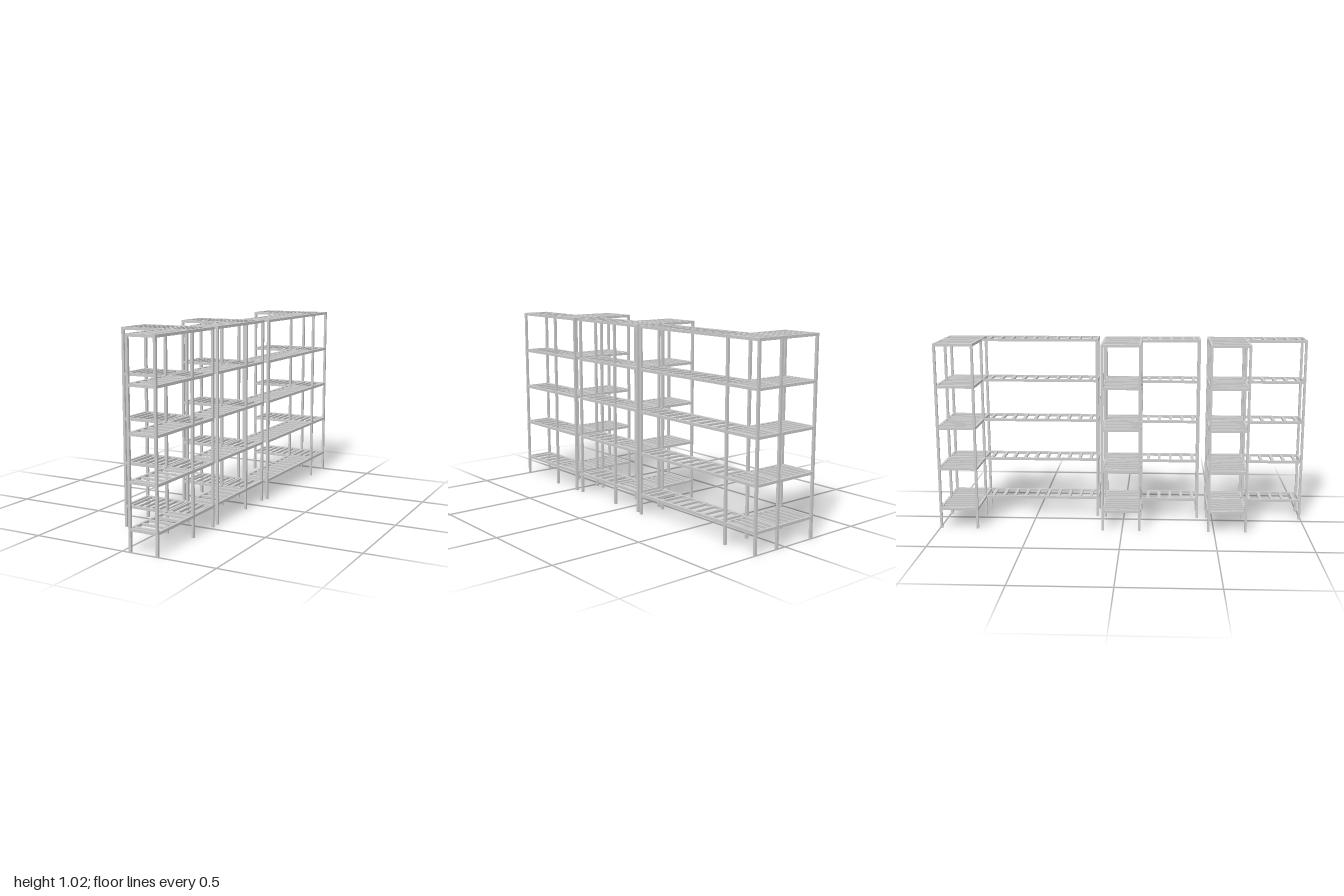
import * as THREE from 'three';

const POST = 0.013;                                // section of the posts and rails
const RAIL_H = 0.014;
const TOP = 1.016;
const LEVELS = [0.116, 0.341, 0.566, 0.791, TOP];  // top face of each shelf

const material = new THREE.MeshStandardMaterial({ color: 0xcccccc, flatShading: true });

// Box given by its lower and upper corners
function bar(parent, name, x0, x1, y0, y1, z0, z1) {
  const mesh = new THREE.Mesh(new THREE.BoxGeometry(x1 - x0, y1 - y0, z1 - z0), material);
  mesh.position.set((x0 + x1) / 2, (y0 + y1) / 2, (z0 + z1) / 2);
  mesh.name = name;
  parent.add(mesh);
}

// L-shaped slatted rack: a wing across x at the back and an arm along z on the left.
// x0..x1 wing width, xm arm inner face, z0..zm wing depth, zm..z1 arm length
function rack({ name, x0, xm, x1, z0, zm, z1 }) {
  const group = new THREE.Group();
  group.name = name;
  const xIn = x1 - POST;   // inner face of the long outer rail

  // Posts, by their lower corner in plan
  const posts = [[x0, z0], [xm, z0], [xIn, z0], [x0, zm - POST], [xm, zm - POST],
    [xIn, zm - POST], [xm, z1 - POST], [xIn, z1 - POST]];
  for (const [x, z] of posts) bar(group, 'post', x, x + POST, 0, TOP, z, z + POST);

  LEVELS.forEach((top, i) => {
    const shelf = new THREE.Group();
    shelf.name = 'shelf' + (i + 1);
    group.add(shelf);
    const y0 = top - RAIL_H;

    // Rails across x
    for (const z of [z0, zm - POST]) bar(shelf, 'crossRail', x0, x1, y0, top, z, z + POST);
    bar(shelf, 'endRail', xm, x1, y0, top, z1 - POST, z1);

    // Rails along z
    bar(shelf, 'sideRail', x0, x0 + POST, y0, top, z0, zm);
    for (const x of [xm, xIn]) bar(shelf, 'longRail', x, x + POST, y0, top, z0, z1);

    // Wing slats run along z
    const s0 = y0 + 0.002, s1 = top - 0.001;
    for (let k = 0; k < 10; k++) {
      const x = x0 + 0.031 + k * 0.0388;
      bar(shelf, 'wingSlat', x - 0.005, x + 0.005, s0, s1, z0 + POST, zm - POST);
    }
    // Arm slats run along x
    for (let z = zm + 0.035; z < z1 - 0.012; z += 0.0625) {
      bar(shelf, 'armSlat', xm + POST, xIn, s0, s1, z - 0.008, z + 0.008);
    }
  });
  return group;
}

export function createModel() {
  const model = new THREE.Group();
  model.name = 'shelving';
  model.add(
    rack({ name: 'frontRack', x0: -0.207, xm: 0.036, x1: 0.197, z0: 0.463, zm: 0.676, z1: 1 }),
    rack({ name: 'middleRack', x0: -0.207, xm: 0.034, x1: 0.194, z0: -0.111, zm: 0.102, z1: 0.422 }),
    rack({ name: 'backRack', x0: -0.198, xm: 0.046, x1: 0.207, z0: -1, zm: -0.787, z1: -0.143 }),
  );
  return model;
}
